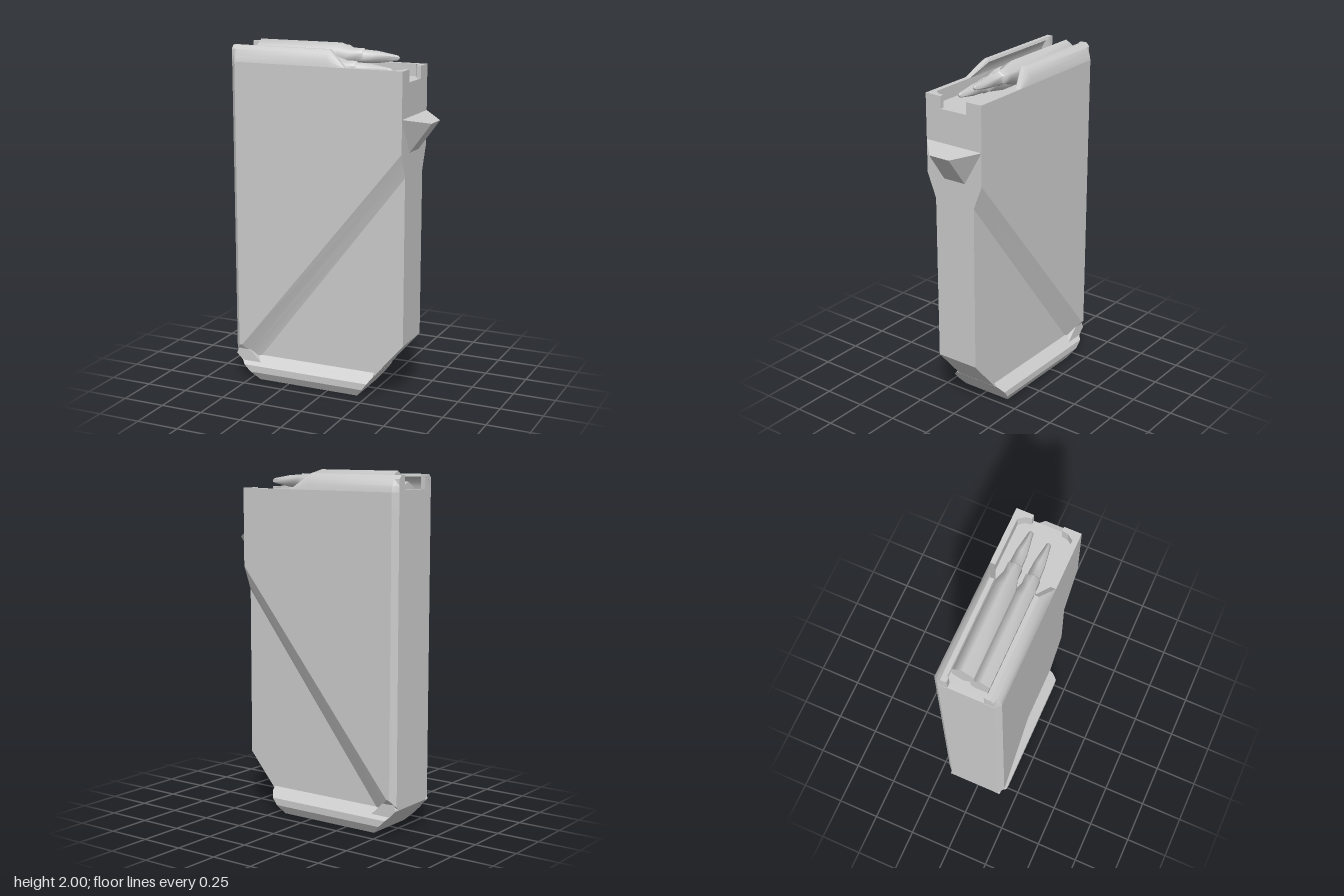
import * as THREE from 'three';
import { toCreasedNormals } from 'three/addons/utils/BufferGeometryUtils.js';
import { ConvexGeometry } from 'three/addons/geometries/ConvexGeometry.js';

const material = new THREE.MeshStandardMaterial({ color: 0xcccccc });

function addPart(group, name, geometry) {
  const mesh = new THREE.Mesh(geometry, material);
  mesh.name = name;
  group.add(mesh);
  return mesh;
}

// Skin over a row of rings with equal point counts, closed at both ends
function loft(rings, crease = 0.3) {
  const n = rings[0].length;
  const tris = [];
  const quad = (a, b, c, d) => tris.push([a, b, c], [a, c, d]);
  for (let k = 0; k + 1 < rings.length; k++) {
    for (let i = 0; i < n; i++) {
      const j = (i + 1) % n;
      quad(rings[k][i], rings[k][j], rings[k + 1][j], rings[k + 1][i]);
    }
  }
  const first = rings[0], last = rings[rings.length - 1];
  for (let i = 0, j = n - 1; i < j - 1; i++, j--) {
    quad(first[i], first[j], first[j - 1], first[i + 1]);
    quad(last[i], last[i + 1], last[j - 1], last[j]);
  }
  // Turn the faces outward whichever way the rings run
  const v = (p) => new THREE.Vector3(...p);
  const volume = tris.reduce((s, [a, b, c]) => s + v(a).dot(v(b).cross(v(c))), 0);
  if (volume < 0) tris.forEach((t) => t.reverse());
  const geometry = new THREE.BufferGeometry();
  geometry.setAttribute('position', new THREE.Float32BufferAttribute(tris.flat(2), 3));
  geometry.computeVertexNormals();
  return toCreasedNormals(geometry, crease);
}

function extrude(points, depth) {
  const shape = new THREE.Shape(points.map(([x, y]) => new THREE.Vector2(x, y)));
  return new THREE.ExtrudeGeometry(shape, { depth, bevelEnabled: false });
}

function box(x0, x1, y0, y1, halfZ) {
  return new THREE.BoxGeometry(x1 - x0, y1 - y0, 2 * halfZ)
    .translate((x0 + x1) / 2, (y0 + y1) / 2, 0);
}

export function createModel() {
  const group = new THREE.Group();
  const floorY = 1.82, rimY = 1.89;

  // Main body: side outlines stacked through z, bevelled along the diagonal and rear
  const half = [
    // z, lower start x/y, rear corner x/y, front end y
    [0.13, -0.45, 0.13, -0.59, 0.15, 1.3],
    [0.155, -0.5, 0.165, -0.59, 0.17, 1.365],
    [0.185, -0.54, 0.215, -0.56, 0.21, 1.44],
  ];
  const outline = ([z, x0, y0, x1, y1, yf], s) => [
    [x0, y0, s * z], [x1, y1, s * z], [x1, floorY, s * z], [0.46, floorY, s * z], [0.46, yf, s * z],
  ];
  addPart(group, 'body', loft([
    ...[...half].reverse().map((h) => outline(h, -1)),
    ...half.map((h) => outline(h, 1)),
  ]));

  // Thinner panel below the diagonal
  addPart(group, 'lowerPanel',
    extrude([[0.46, 1.3], [-0.45, 0.13], [-0.45, 0.12], [0.28, 0.12], [0.46, 0.33]], 0.26).translate(0, 0, -0.13));

  // Base plate with chamfered long edges
  const plate = [
    // y, rear x, front x, half width
    [0, -0.44, 0.19, 0.155],
    [0.05, -0.49, 0.23, 0.185],
    [0.09, -0.53, 0.26, 0.185],
    [0.125, -0.565, 0.285, 0.15],
    [0.15, -0.59, 0.285, 0.125],
  ];
  addPart(group, 'basePlate', loft(plate.map(([y, x0, x1, w]) =>
    [[x0, y, -w], [x0, y, w], [x1, y, w], [x1, y, -w]])));
  addPart(group, 'baseHeel',
    extrude([[-0.59, 0.15], [-0.53, 0.09], [-0.42, 0.1], [-0.5, 0.18], [-0.57, 0.19]], 0.33).translate(0, 0, -0.165));

  // Catch on the front edge
  const catchPoints = [];
  for (const s of [-1, 1]) {
    catchPoints.push(
      new THREE.Vector3(0.46, 1.63, s * 0.185),
      new THREE.Vector3(0.585, 1.6, s * 0.065),
      new THREE.Vector3(0.46, 1.43, s * 0.07));
  }
  addPart(group, 'frontCatch', new ConvexGeometry(catchPoints));

  // Rim walls around the opening, leaving a notch at the front
  const wall = [
    [-0.59, 0.1], [-0.59, 0.155], [-0.56, 0.185], [0.46, 0.185], [0.46, 0.085],
    [0.435, 0.085], [0.43, 0.12], [0.405, 0.155], [-0.56, 0.155], [-0.56, 0.1],
  ];
  // Feed lip section as z, y: outer curve, then inner curve back
  const lip = [
    [0.185, rimY], [0.178, 1.925], [0.16, 1.96], [0.135, 1.98], [0.11, 1.98],
    [0.105, 1.965], [0.125, 1.955], [0.14, 1.935], [0.15, 1.915], [0.155, rimY],
  ];
  for (const s of [-1, 1]) {
    const side = s > 0 ? 'left' : 'right';
    const plan = wall.map(([x, z]) => [x, -s * z]);
    addPart(group, side + 'RimWall',
      extrude(plan, rimY - floorY).rotateX(-Math.PI / 2).translate(0, floorY, 0));

    const ring = (x, maxZ) => lip.map(([z, y]) => [x, y, s * Math.min(z, maxZ)]);
    const flat = lip.map(([z], i) => [0.12, rimY, s * (i < 5 ? 0.185 : 0.155)]);
    addPart(group, side + 'FeedLip',
      loft([ring(-0.59, 0.155), ring(-0.56, 0.185), ring(0.01, 0.185), flat], 0.6));
    // Rear wall beneath and beside the lip
    const rear = [[0.1, rimY], [0.155, rimY], [0.155, 1.955], [0.135, 1.98], [0.1, 1.98]];
    addPart(group, side + 'RearPost',
      loft([-0.588, -0.56].map((x) => rear.map(([z, y]) => [x, y, s * z]))));
  }
  addPart(group, 'rearWall', box(-0.59, -0.56, floorY, 1.9, 0.1));

  // Two staggered cartridges, six-sided and pointing forward
  const profile = [
    [0, -0.51], [0.07, -0.51], [0.07, 0], [0.045, 0.08], [0.045, 0.135],
    [0.038, 0.14], [0.034, 0.22], [0.014, 0.34], [0, 0.35],
  ].map(([r, x]) => new THREE.Vector2(r, x));
  const round = toCreasedNormals(
    new THREE.LatheGeometry(profile, 6, Math.PI / 6).rotateZ(-Math.PI / 2).toNonIndexed(), 1.1);
  addPart(group, 'upperCartridge', round).position.set(0, 1.93, -0.05);
  addPart(group, 'lowerCartridge', round).position.set(0, 1.87, 0.05);

  return group;
}
